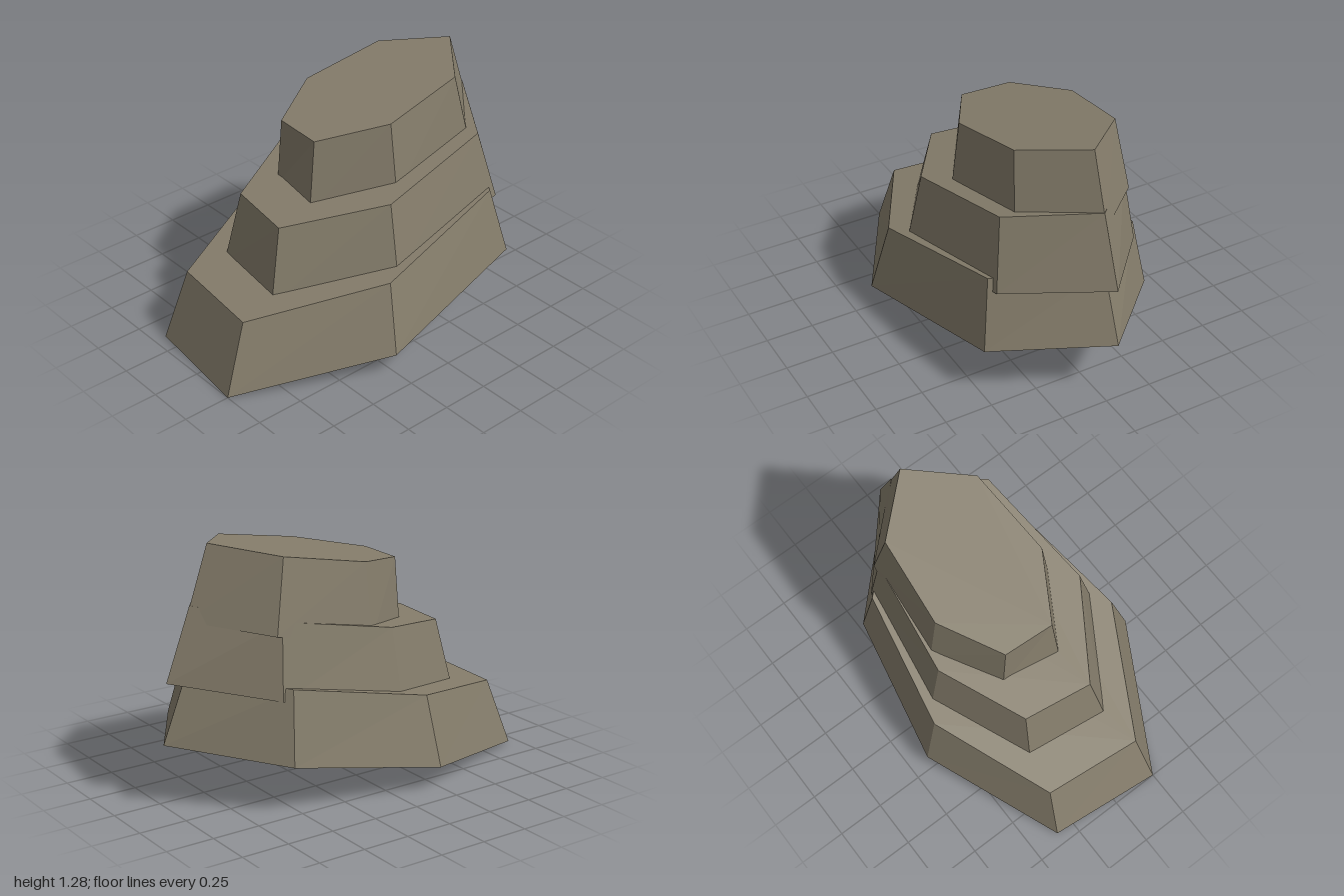
import * as THREE from 'three';

// Each tier is an open-bottomed seven-sided shell between two tilted planes.
// Rings list [x, z] corners; planes are [height at x = 0, slope along x].
const tiers = [
  {
    name: 'lowerRockTier',
    rim: [[-1, 0.25], [-0.94, -0.35], [-0.22, -0.66], [0.55, -0.51], [1, -0.055], [0.665, 0.49], [-0.26, 0.65]],
    rimPlane: [0.165, 0.16],
    top: [[-0.86, 0.21], [-0.81, -0.31], [-0.19, -0.575], [0.51, -0.445], [0.857, -0.055], [0.585, 0.425], [-0.22, 0.555]],
    topPlane: [0.525, 0.186],
  },
  {
    name: 'middleRockTier',
    rim: [[-0.655, 0.175], [-0.6, -0.275], [-0.085, -0.515], [0.555, -0.425], [0.975, -0.055], [0.645, 0.41], [-0.12, 0.5]],
    rimPlane: [0.466, 0.17],
    top: [[-0.56, 0.125], [-0.51, -0.24], [-0.07, -0.445], [0.52, -0.37], [0.838, -0.055], [0.56, 0.345], [-0.1, 0.42]],
    topPlane: [0.839, 0.186],
  },
  {
    name: 'upperRockTier',
    rim: [[-0.345, 0.1], [-0.295, -0.215], [0.03, -0.42], [0.555, -0.38], [0.86, -0.055], [0.57, 0.27], [0.03, 0.32]],
    rimPlane: [0.778, 0.165],
    top: [[-0.295, 0.08], [-0.28, -0.19], [0.035, -0.37], [0.485, -0.33], [0.735, -0.055], [0.495, 0.232], [0.03, 0.27]],
    topPlane: [1.149, 0.184],
  },
];

function ring(corners, [base, slope]) {
  return corners.map(([x, z]) => [x, base + slope * x, z]);
}

function tierGeometry({ rim, rimPlane, top, topPlane }) {
  const low = ring(rim, rimPlane);
  const high = ring(top, topPlane);
  const positions = [];
  const n = low.length;
  const tri = (a, b, c) => positions.push(...a, ...b, ...c);

  // Sloping side walls
  for (let i = 0; i < n; i++) {
    const j = (i + 1) % n;
    tri(low[j], low[i], high[i]);
    tri(low[j], high[i], high[j]);
  }
  // Flat cap
  for (let i = 1; i < n - 1; i++) tri(high[0], high[i + 1], high[i]);

  const geometry = new THREE.BufferGeometry();
  geometry.setAttribute('position', new THREE.Float32BufferAttribute(positions, 3));
  geometry.computeVertexNormals();
  return geometry;
}

export function createModel() {
  const group = new THREE.Group();
  group.name = 'steppedRock';
  const stone = new THREE.MeshStandardMaterial({ color: 0x857d6b, side: THREE.DoubleSide, flatShading: true });
  stone.name = 'stone';
  for (const tier of tiers) {
    const mesh = new THREE.Mesh(tierGeometry(tier), stone);
    mesh.name = tier.name;
    group.add(mesh);
  }
  return group;
}
